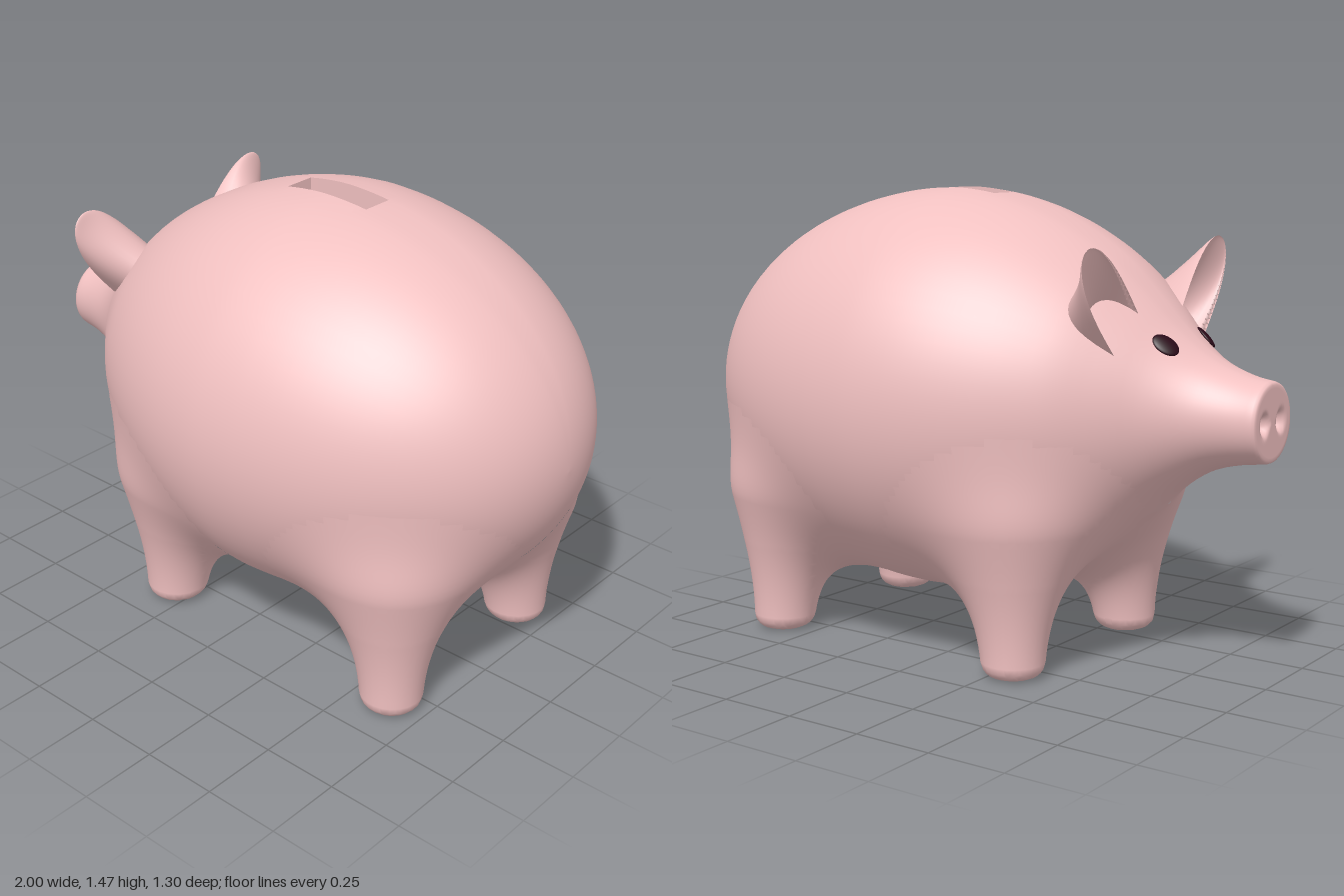
import * as THREE from 'three';

const CY = 0.822; // height of the body axis
const SLOT = { x0: -0.04, x1: 0.27, angle: 0.083, depth: 0.09 };
const V = (x, y, z) => new THREE.Vector3(x, y, z);

// Radius of the body at x: splined snout and shoulders, elliptical rump
const frontProfile = new THREE.SplineCurve(
  [0.122, 0.138, 0.175, 0.245, 0.34, 0.43, 0.497, 0.55, 0.591, 0.621, 0.64, 0.649]
    .map((r, i) => new THREE.Vector2(-1 + i * 0.1, r)));
function bodyRadius(x) {
  if (x < 0.1) return frontProfile.getPoint(Math.max(0, (x + 1) / 1.1)).y;
  return 0.649 * Math.sqrt(Math.max(0, 1 - ((x - 0.1) / 0.9) ** 2));
}

// Skin a list of closed rings; skip(i, j) leaves a face open
function loft(rings, skip = () => false) {
  const n = rings[0].length, index = [];
  for (let i = 0; i < rings.length - 1; i++) {
    for (let j = 0; j < n; j++) {
      if (skip(i, j)) continue;
      const k = (j + 1) % n;
      const a = i * n + j, b = i * n + k, c = a + n, d = b + n;
      index.push(a, b, c, b, d, c);
    }
  }
  const geo = new THREE.BufferGeometry().setFromPoints(rings.flat());
  geo.setIndex(index);
  geo.computeVertexNormals();
  return geo;
}

// Body of revolution around x, with nostril dents and an open coin slot
function bodyGeometry() {
  const stations = [];
  for (let i = 0; i <= 12; i++) stations.push([-1, 0.112 * i / 12]);
  stations.push([-0.997, 0.119], [-0.988, 0.1225]);
  const span = (a, b, n) => {
    for (let i = 0; i < n; i++) {
      const x = a + (b - a) * i / n;
      stations.push([x, bodyRadius(x)]);
    }
  };
  span(-0.97, SLOT.x0, 32);
  span(SLOT.x0, SLOT.x1, 10);
  for (let i = 0; i <= 28; i++) {
    const x = SLOT.x1 + (1 - SLOT.x1) * Math.sin(i / 28 * Math.PI / 2);
    stations.push([x, bodyRadius(x)]);
  }
  // The first angular step spans the slot
  const n = 72, angles = [-SLOT.angle];
  for (let j = 0; j < n - 1; j++) {
    angles.push(SLOT.angle + (2 * Math.PI - 2 * SLOT.angle) * j / (n - 1));
  }
  const rings = stations.map(([x, r]) => angles.map(a => {
    const p = V(x, CY + r * Math.cos(a), r * Math.sin(a));
    if (x === -1) {
      const d = ((Math.abs(p.z) - 0.05) / 0.022) ** 2 + ((p.y - CY) / 0.03) ** 2;
      p.x += 0.03 * Math.exp(-d * d);
    }
    p.y -= 0.015 * THREE.MathUtils.clamp((-0.65 - x) / 0.3, 0, 1);
    return p;
  }));
  const inSlot = x => x > SLOT.x0 - 1e-6 && x < SLOT.x1 - 1e-6;
  return loft(rings, (i, j) => j === 0 && inSlot(stations[i][0]));
}

// Walls and floor of the coin slot, following the curve of the back
function slotGeometry() {
  const rings = [];
  for (let i = 0; i <= 10; i++) {
    const x = SLOT.x0 + (SLOT.x1 - SLOT.x0) * i / 10, r = bodyRadius(x);
    const z = r * Math.sin(SLOT.angle), top = CY + r * Math.cos(SLOT.angle);
    const low = top - SLOT.depth;
    rings.push([V(x, top, -z), V(x, low, -z), V(x, low, z), V(x, top, z)]);
  }
  const walls = loft(rings, (i, j) => j === 3);
  // End walls
  walls.setIndex([...walls.index.array, 0, 1, 2, 0, 2, 3, 40, 42, 41, 40, 43, 42]);
  const flat = walls.toNonIndexed();
  flat.computeVertexNormals();
  return flat;
}

// Distance rules for the legs, which melt into the body
const smoothMin = (a, b, k) => Math.min(a, b) - Math.max(k - Math.abs(a - b), 0) ** 2 / (4 * k);
function bodyDistance(x, y, z) {
  const r = bodyRadius(x);
  const slope = Math.min(3, Math.abs(bodyRadius(x + 0.005) - bodyRadius(x - 0.005)) / 0.01);
  return (Math.hypot(y - CY, z) - r) / Math.hypot(1, slope);
}
function legDistance(x, y, z) {
  const round = 0.045, radius = 0.098 + 0.03 * Math.min(0.3, Math.max(0, y));
  const a = Math.hypot(x, z) - radius + round, b = Math.abs(y - 0.25) - 0.25 + round;
  return Math.min(Math.max(a, b), 0) + Math.hypot(Math.max(a, 0), Math.max(b, 0)) - round;
}
function bellyDistance(x, y, z) {
  const q = [Math.abs(x - 0.155) - 0.21, Math.abs(y - 0.4) - 0.11, Math.abs(z) - 0.06];
  const outside = Math.hypot(...q.map(v => Math.max(v, 0)));
  return outside + Math.min(Math.max(...q), 0) - 0.08;
}
function legsAndBody(x, y, z) {
  let d = smoothMin(bodyDistance(x, y, z), bellyDistance(x, y, z), 0.08);
  for (const lx of [-0.31, 0.63]) {
    for (const lz of [-0.33, 0.33]) d = smoothMin(d, legDistance(x - lx, y, z - lz), 0.31);
  }
  return d;
}

// Skin the blended legs on a grid, keeping only what stands proud of the body
function legsGeometry() {
  const step = 0.024, low = [-0.74, -0.036, -0.66], size = [71, 39, 56];
  const stride = [1, size[0], size[0] * size[1]];
  const at = c => low.map((v, k) => v + c[k] * step);
  const values = [], points = [], normals = [], proud = [], index = [], vertexOf = new Map();
  const cells = [];
  for (let k = 0; k < size[2]; k++)
    for (let j = 0; j < size[1]; j++)
      for (let i = 0; i < size[0]; i++) {
        cells.push([i, j, k]);
        values.push(legsAndBody(...at([i, j, k])));
      }
  const gradient = p => V(...[0, 1, 2].map(k => {
    const a = p.toArray(), b = p.toArray();
    a[k] += 0.002;
    b[k] -= 0.002;
    return (legsAndBody(...a) - legsAndBody(...b)) / 0.004;
  }));
  // One vertex per crossed cell, drawn onto the surface
  cells.forEach((c, id) => {
    if (c.some((v, k) => v >= size[k] - 1)) return;
    let inside = 0;
    for (let m = 0; m < 8; m++) {
      const corner = id + (m & 1) + (m >> 1 & 1) * stride[1] + (m >> 2) * stride[2];
      if (values[corner] < 0) inside++;
    }
    if (inside === 0 || inside === 8) return;
    const p = V(...at(c)).addScalar(step / 2);
    for (let n = 0; n < 4; n++) {
      const g = gradient(p);
      p.addScaledVector(g, -legsAndBody(p.x, p.y, p.z) / Math.max(0.2, g.lengthSq()));
    }
    vertexOf.set(id, points.length);
    points.push(p);
    normals.push(...gradient(p).normalize().toArray());
    proud.push(bodyDistance(p.x, p.y, p.z) > 0.0012);
  });
  // One quad per crossed grid edge
  cells.forEach((c, id) => {
    for (let k = 0; k < 3; k++) {
      const u = stride[(k + 1) % 3], v = stride[(k + 2) % 3];
      if (c[k] >= size[k] - 1 || (values[id] < 0) === (values[id + stride[k]] < 0)) continue;
      const quad = [id - u - v, id - v, id, id - u].map(n => vertexOf.get(n));
      if (quad.includes(undefined) || !quad.some(n => proud[n])) continue;
      const [a, b, d, e] = values[id] < 0 ? quad : quad.reverse();
      index.push(a, b, d, a, d, e);
    }
  });
  const geo = new THREE.BufferGeometry().setFromPoints(points);
  geo.setAttribute('normal', new THREE.Float32BufferAttribute(normals, 3));
  geo.setIndex(index);
  return geo;
}

// Cupped ear: crescent sections flaring into the head, open to the face
function earGeometry() {
  const N = 32, rows = 24, tilt = 0.7, rings = [];
  const u = V(0, Math.cos(tilt), Math.sin(tilt)), w = V(0, -u.z, u.y);
  for (let i = 0; i <= rows; i++) {
    const t = 1 - (1 - i / rows) ** 1.5;
    const half = 0.1 * Math.sqrt(1 - t ** 4) * (0.85 + 0.25 * t - 0.2 * t * t);
    const bulge = (0.014 + 0.3 * (1 - t) ** 1.5) * Math.sqrt(1 - t ** 8);
    const ring = [];
    for (let j = 0; j < N; j++) {
      const a = j / N * Math.PI * 2, s = Math.sin(a);
      ring.push(u.clone().multiplyScalar(0.28 + 0.355 * t)
        .addScaledVector(w, half * Math.cos(a))
        .add(V(-0.62 + 0.012 * t + bulge * (s > 0 ? s : -s * 0.5), CY, 0)));
    }
    rings.push(ring);
  }
  return loft(rings);
}

// Eye: flattened ellipsoid lying on the brow
function eyeGeometry() {
  const x = -0.708, angle = 0.54, r = bodyRadius(x);
  const slope = (bodyRadius(x + 0.01) - bodyRadius(x - 0.01)) / 0.02;
  const radial = V(0, Math.cos(angle), Math.sin(angle));
  const along = V(1, 0, 0).addScaledVector(radial, slope).normalize();
  const across = V(0, -radial.z, radial.y);
  const normal = along.clone().cross(across);
  const eye = new THREE.SphereGeometry(1, 24, 16).scale(0.044, 0.033, 0.01);
  eye.applyMatrix4(new THREE.Matrix4().makeBasis(along, across, normal));
  return eye.translate(x, CY + r * radial.y, r * radial.z);
}

export function createModel() {
  const model = new THREE.Group();
  model.name = 'piggyBank';
  const pink = new THREE.MeshStandardMaterial({ color: 0xf0c0c0 });
  const pinkThin = new THREE.MeshStandardMaterial({ color: 0xf0c0c0, side: THREE.DoubleSide });
  const dark = new THREE.MeshStandardMaterial({ color: 0x2a0a18 });
  const add = (name, geo, mat) => {
    const mesh = new THREE.Mesh(geo, mat);
    mesh.name = name;
    model.add(mesh);
    return mesh;
  };
  add('body', bodyGeometry(), pink);
  add('coinSlot', slotGeometry(), pinkThin);
  add('legs', legsGeometry(), pink);
  const ear = earGeometry(), eye = eyeGeometry();
  for (const side of [1, -1]) {
    const label = side > 0 ? 'Near' : 'Far';
    add('ear' + label, ear, pinkThin).scale.z = side;
    add('eye' + label, eye, dark).scale.z = side;
  }
  return model;
}
